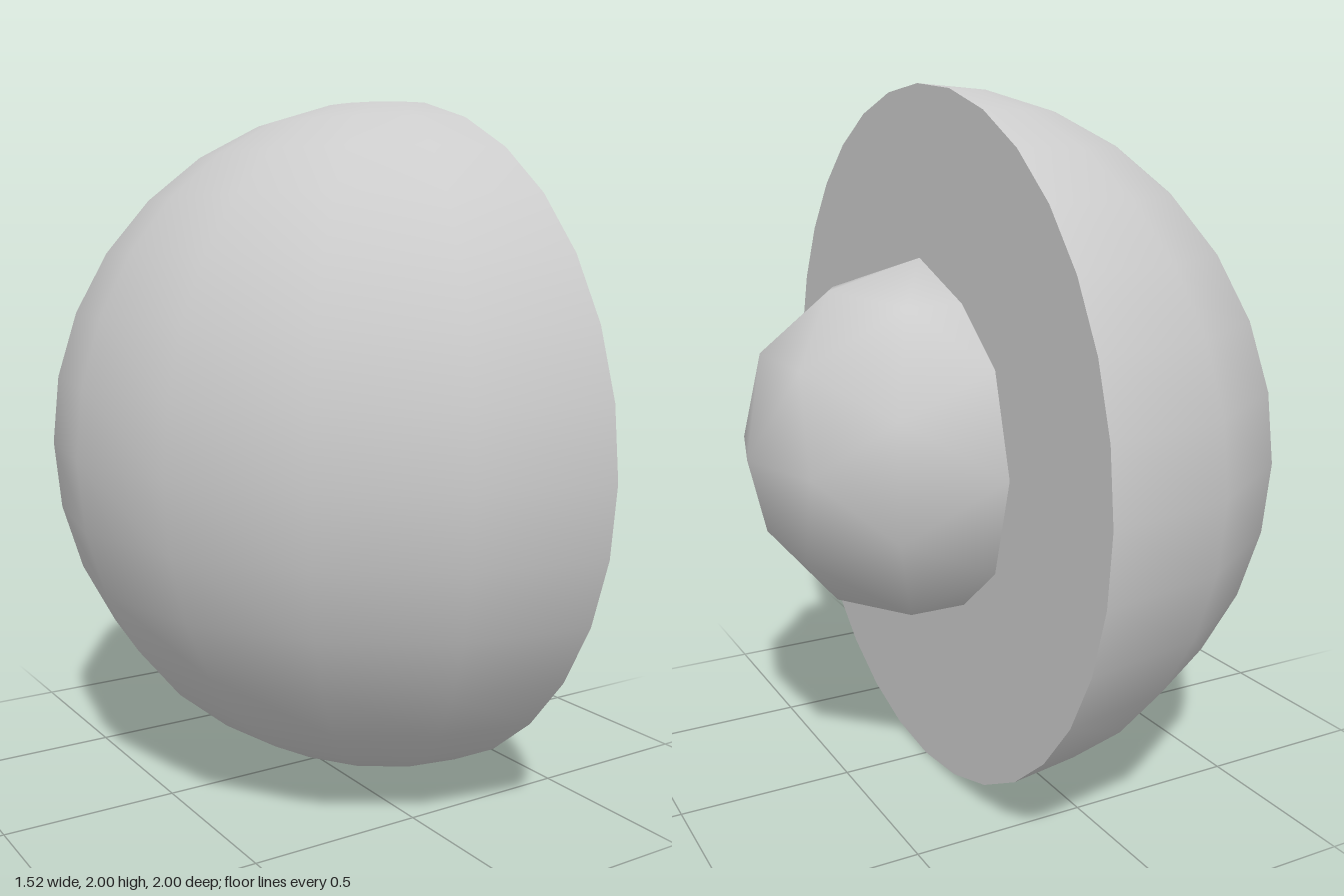
import * as THREE from 'three';

const CUT_X = 0.2375; // plane where the outer ball is sliced
const CORE_RADIUS = 0.525;

export function createModel() {
  const group = new THREE.Group();
  group.name = 'halvedBallWithCore';
  const material = new THREE.MeshStandardMaterial({ color: 0xcccccc });

  const add = (name, geometry) => {
    const mesh = new THREE.Mesh(geometry, material);
    mesh.name = name;
    mesh.position.set(CUT_X, 1, 0);
    group.add(mesh);
  };

  // Outer half ball, bulging towards -x
  add('outerShell', new THREE.SphereGeometry(1, 8, 16, -Math.PI / 2, Math.PI));

  // Flat cut face closing the half ball, facing +x
  add('cutFace', new THREE.CircleGeometry(1, 32).rotateY(Math.PI / 2));

  // Core ball, half sunk into the cut face
  add('core', new THREE.IcosahedronGeometry(CORE_RADIUS, 1));

  return group;
}
